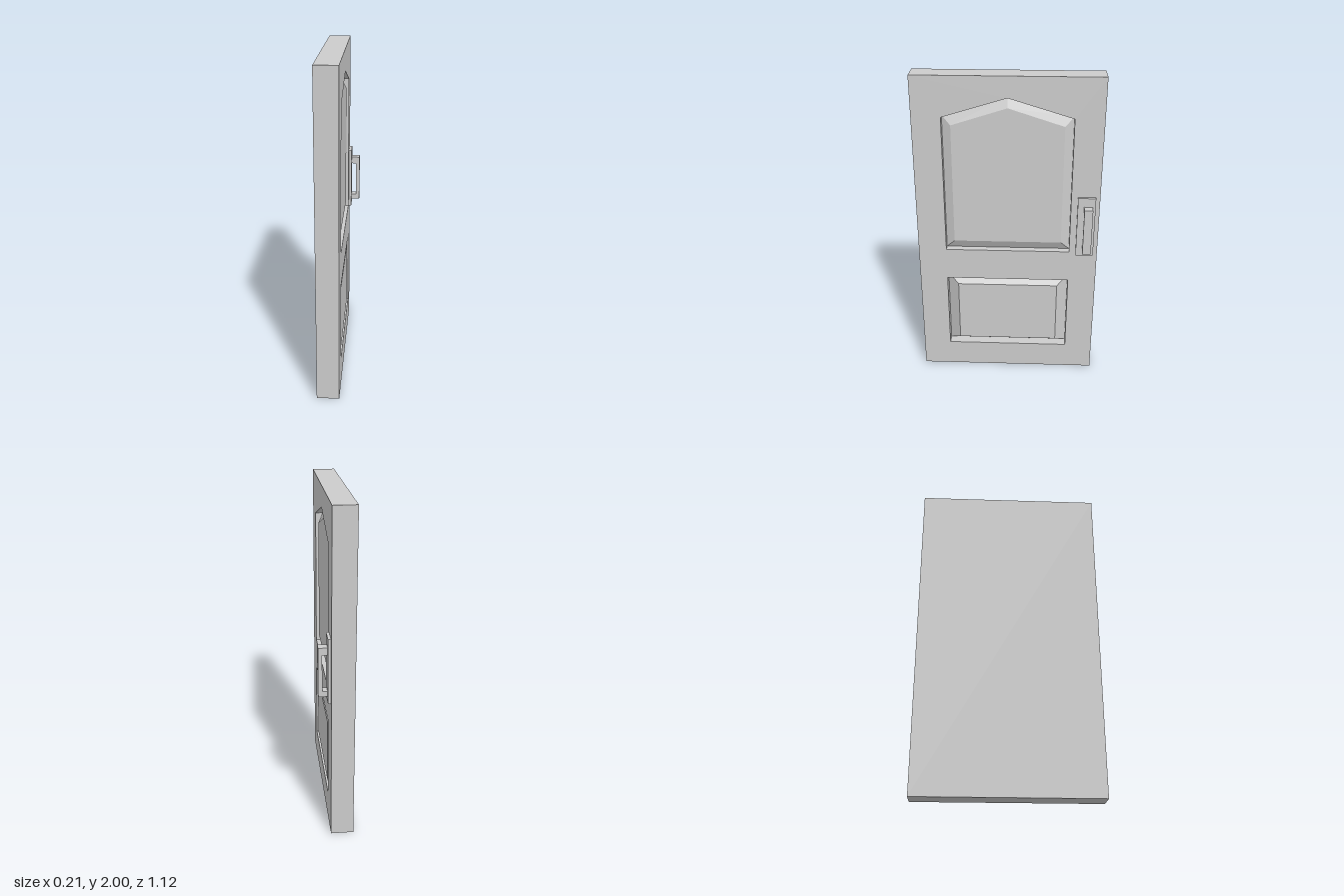
import * as THREE from 'three';

const BACK = -0.103, FACE = 0.033, LAYER = 0.07, HALF = 0.56, HEIGHT = 2;

// Outlines are drawn in (u, v) = (-z, y) and face +x once turned
const UPPER_OUTER = [[-0.386, 0.887], [0.386, 0.887], [0.386, 1.755], [0, 1.873], [-0.386, 1.755]];
const UPPER_INNER = [[-0.333, 0.945], [0.333, 0.945], [0.333, 1.703], [0, 1.81], [-0.333, 1.703]];
const LOWER_OUTER = [[-0.386, 0.172], [0.386, 0.172], [0.386, 0.68], [-0.386, 0.68]];
const LOWER_INNER = [[-0.317, 0.217], [0.317, 0.217], [0.317, 0.632], [-0.317, 0.632]];

const rect = (u0, v0, u1, v1) => [[u0, v0], [u1, v0], [u1, v1], [u0, v1]];
const toPoints = (list) => list.map(([u, v]) => new THREE.Vector2(u, v));

export function createModel() {
  const group = new THREE.Group();
  group.name = 'door';
  const material = new THREE.MeshStandardMaterial({ color: 0xcccccc, flatShading: true });

  const add = (name, geometry) => {
    const mesh = new THREE.Mesh(geometry, material);
    mesh.name = name;
    group.add(mesh);
    return mesh;
  };

  // Box given by its limits on each axis
  const addBox = (name, x0, x1, y0, y1, z0, z1) => {
    add(name, new THREE.BoxGeometry(x1 - x0, y1 - y0, z1 - z0))
      .position.set((x0 + x1) / 2, (y0 + y1) / 2, (z0 + z1) / 2);
  };

  // Raised panel: bevel from the outer loop up to the inner loop, then a flat field
  const addPanel = (name, outer, inner, xLow, xHigh) => {
    const positions = [];
    const low = outer.map(([u, v]) => [xLow, v, -u]);
    const high = inner.map(([u, v]) => [xHigh, v, -u]);
    const tri = (a, b, c) => positions.push(...a, ...b, ...c);
    for (let i = 0; i < low.length; i++) {
      const j = (i + 1) % low.length;
      tri(low[i], low[j], high[j]);
      tri(low[i], high[j], high[i]);
      if (i > 0 && j > 0) tri(high[0], high[i], high[j]);
    }
    const geometry = new THREE.BufferGeometry();
    geometry.setAttribute('position', new THREE.Float32BufferAttribute(positions, 3));
    geometry.computeVertexNormals();
    add(name, geometry);
  };

  // Solid back of the slab
  addBox('slabBack', BACK, FACE - LAYER, 0, HEIGHT, -HALF, HALF);

  // Front layer with an opening for each panel
  const frame = new THREE.Shape(toPoints(rect(-HALF, 0, HALF, HEIGHT)));
  for (const outline of [UPPER_OUTER, LOWER_OUTER]) frame.holes.push(new THREE.Path(toPoints(outline)));
  const frameGeometry = new THREE.ExtrudeGeometry(frame, { depth: LAYER, bevelEnabled: false });
  frameGeometry.rotateY(Math.PI / 2).translate(FACE - LAYER, 0, 0);
  add('slabFrame', frameGeometry);

  // Panels sunk into the openings
  addPanel('upperPanel', UPPER_OUTER, UPPER_INNER, FACE - 0.045, FACE - 0.013);
  addPanel('lowerPanel', LOWER_OUTER, LOWER_INNER, FACE - 0.065, FACE - 0.004);

  // Handle: back plate and a bracket-shaped pull
  addBox('handlePlate', FACE, 0.05, 0.873, 1.265, -0.534, -0.426);
  const pull = new THREE.Shape(toPoints([
    [0.05, 0.91], [0.103, 0.91], [0.103, 1.208], [0.05, 1.208],
    [0.05, 1.165], [0.08, 1.165], [0.08, 0.943], [0.05, 0.943],
  ]));
  const pullGeometry = new THREE.ExtrudeGeometry(pull, { depth: 0.052, bevelEnabled: false });
  add('handlePull', pullGeometry.translate(0, 0, -0.516));

  return group;
}
